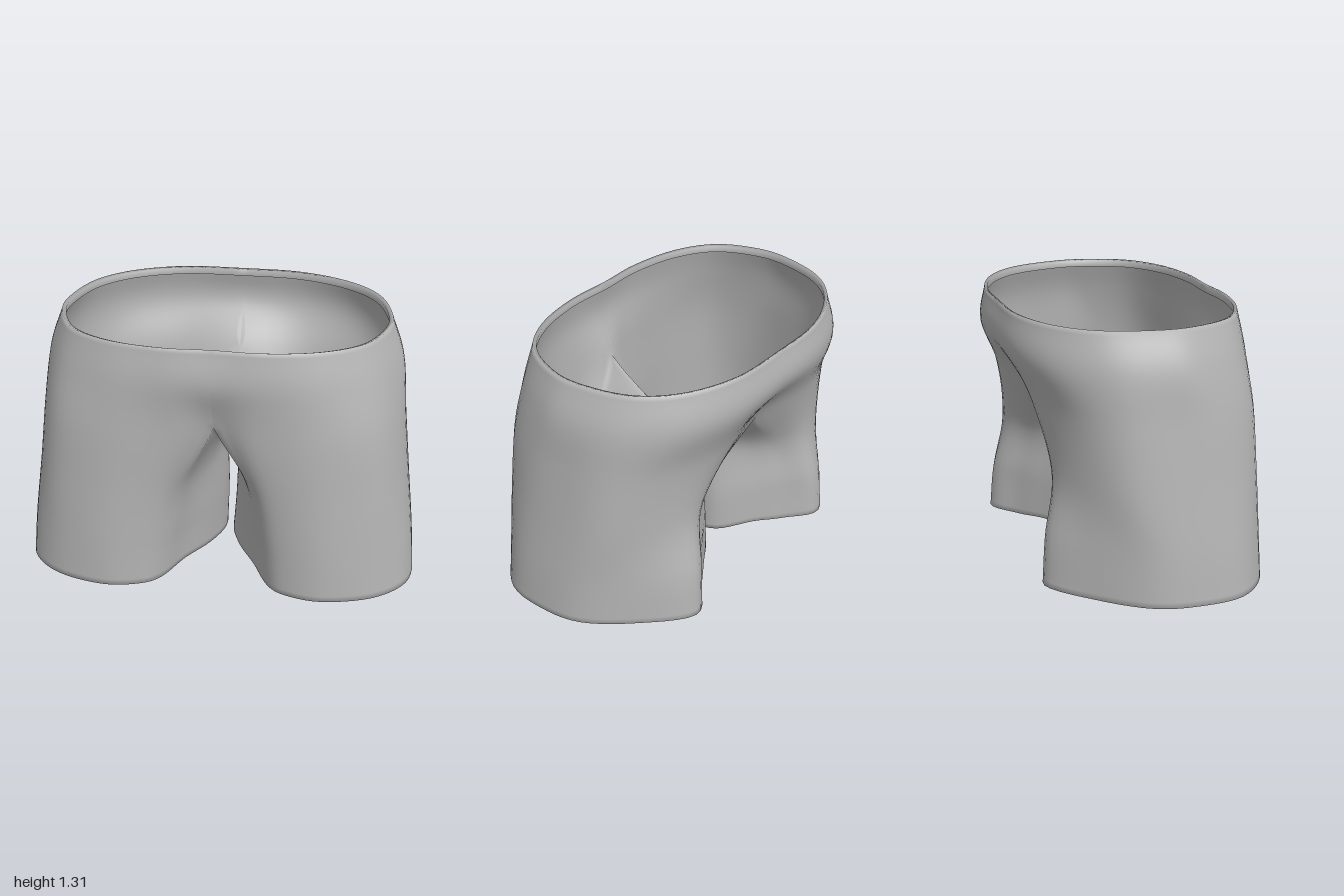
import * as THREE from 'three';
import { mergeVertices } from 'three/addons/utils/BufferGeometryUtils.js';

const AROUND = 5, DOWN = 8;

// Uniform Catmull-Rom through points p, with ghost points before and after the ends
function spline(p, before, after, steps) {
  const q = [before, ...p, after], out = [];
  const at = (i, t) => [0, 1, 2].map((k) => {
    const [a, b, c, d] = [q[i][k], q[i + 1][k], q[i + 2][k], q[i + 3][k]];
    return b + 0.5 * t * (c - a + t * (2 * a - 5 * b + 4 * c - d + t * (3 * (b - c) + d - a)));
  });
  for (let i = 0; i < p.length - 1; i++) for (let s = 0; s < steps; s++) out.push(at(i, s / steps));
  out.push([...p[p.length - 1]]);
  return out;
}
const mirror = ([x, y, z]) => [-x, y, z];
const mix = (a, b, t) => a.map((v, k) => v + (b[k] - v) * t);
const extend = (a, b) => a.map((v, k) => 2 * v - b[k]);
const level = (y, pts) => pts.map(([x, z, yy = y]) => [x, yy, z]);

// Outside of the left half, front centre round to back centre: [x, z, optional y]
const CROTCH = 2;
const outer = [
  level(1.32, [[0, .535], [.25, .54], [.51, .485], [.71, .355], [.81, .14], [.815, -.05], [.74, -.29], [.57, -.46], [.31, -.562], [0, -.575]]),
  level(1.13, [[0, .562], [.25, .567], [.51, .53], [.75, .4], [.865, .18], [.885, 0], [.82, -.26], [.63, -.47], [.35, -.578], [0, -.593]]),
  level(.88, [[0, .5, .9], [.2, .55], [.5, .56], [.77, .46], [.893, .25], [.91, .03], [.86, -.215], [.68, -.39], [.37, -.488], [0, -.45, .9]]),
  level(.55, [[.18, .47], [.3, .55], [.54, .572], [.8, .48], [.925, .29], [.945, .05], [.89, -.19], [.7, -.36], [.47, -.437], [.29, -.35]]),
  level(.25, [[.24, .47], [.35, .555], [.56, .585], [.81, .5], [.955, .33], [.98, .1], [.93, -.12], [.75, -.34], [.53, -.49], [.36, -.39]]),
  level(.012, [[.27, .48], [.37, .56], [.56, .592], [.81, .52], [.97, .36], [1, .14], [.955, -.09], [.78, -.32], [.55, -.51], [.37, -.4]]),
];
// Inside of the leg, back to front: crotch seam, middle, lower, hem
const inner = [
  level(.68, [[0, -.34, .79], [0, -.18, .7], [0, 0], [0, .2, .72], [0, .37, .81]]),
  level(.55, [[.17, -.26], [.05, -.17], [.03, -.02], [.06, .17], [.12, .34]]),
  level(.25, [[.21, -.29], [.05, -.18], [.025, -.03], [.07, .15], [.16, .32]]),
  level(.03, [[.22, -.3], [.05, -.18], [.02, -.03], [.08, .15], [.18, .32]]),
];

// Turned-in rim, two rows beyond an edge row
function rim(row, cx, cz, dy) {
  return [[0.975, dy * 0.15], [0.98, dy]].map(([k, d]) =>
    row.map(([x, y, z]) => [cx + (x - cx) * k, y + d, cz + (z - cz) * k]));
}

function loft(rows, ghostTop) {
  const n = rows.length;
  const columns = rows[0].map((_, j) => {
    const col = rows.map((r) => r[j]);
    return spline(col, ghostTop(j, col), extend(col[n - 1], col[n - 2]), DOWN);
  });
  return columns[0].map((_, i) => columns.map((c) => c[i]));
}

function buildFabric() {
  // Cross-sections sampled around each level
  const outerRows = outer.map((p, k) => {
    const leg = k > CROTCH, loop = inner[k - CROTCH];
    return spline(p, leg ? loop[4] : mirror(p[1]), leg ? loop[0] : mirror(p[8]), AROUND);
  });
  const innerRows = inner.map((p, k) => {
    const o = outer[k + CROTCH], line = [o[9], ...p, o[0]];
    return k ? spline(line, o[8], o[1], AROUND)
      : spline(line, extend(line[0], line[1]), extend(line[6], line[5]), AROUND);
  });

  // The outside runs from waist to hem; the inside curves away from the crotch seam
  const outside = loft(outerRows, (j, c) => extend(c[0], c[1]));
  const last = innerRows[0].length - 1, hip = outerRows[CROTCH - 1];
  const inside = loft(innerRows, (j, c) => {
    const end = j < last / 2 ? hip[hip.length - 1] : hip[0];
    return mix(end, mirror(c[1]), Math.sin(Math.PI * j / last));
  });

  // Waist and leg rims
  outside.unshift(...rim(outside[0], 0, 0, -0.04).reverse());
  outside.push(...rim(outside[outside.length - 1], 0.5, 0.04, 0.04));
  inside.push(...rim(inside[inside.length - 1], 0.5, 0.04, 0.04));

  // Both halves, the right one mirrored with reversed corners
  const pos = [], index = [];
  for (const side of [1, -1]) for (const grid of [outside, inside]) {
    const base = pos.length / 3, w = grid[0].length;
    grid.forEach((row) => row.forEach(([x, y, z]) => {
      // The gap between the legs leans slightly to the left
      const lean = 0.025 * Math.exp(-x * x / 0.02) * Math.exp(-((y - 0.4) ** 2) / 0.15);
      pos.push(side * x + lean, y, z);
    }));
    for (let i = 0; i < grid.length - 1; i++) for (let j = 0; j < w - 1; j++) {
      const a = base + i * w + j, b = a + w, c = a + 1, d = b + 1;
      if (side > 0) index.push(a, b, c, c, b, d);
      else index.push(a, c, b, c, d, b);
    }
  }
  let geo = new THREE.BufferGeometry();
  geo.setAttribute('position', new THREE.Float32BufferAttribute(pos, 3));
  geo.setIndex(index);
  geo = mergeVertices(geo, 1e-4);
  geo.computeVertexNormals();
  return geo;
}

export function createModel() {
  const group = new THREE.Group();
  group.name = 'shorts';
  const fabric = new THREE.MeshStandardMaterial({ color: 0xb4b4b4, side: THREE.DoubleSide });
  fabric.name = 'grey fabric';
  const mesh = new THREE.Mesh(buildFabric(), fabric);
  mesh.name = 'shortsFabric';
  group.add(mesh);
  return group;
}
